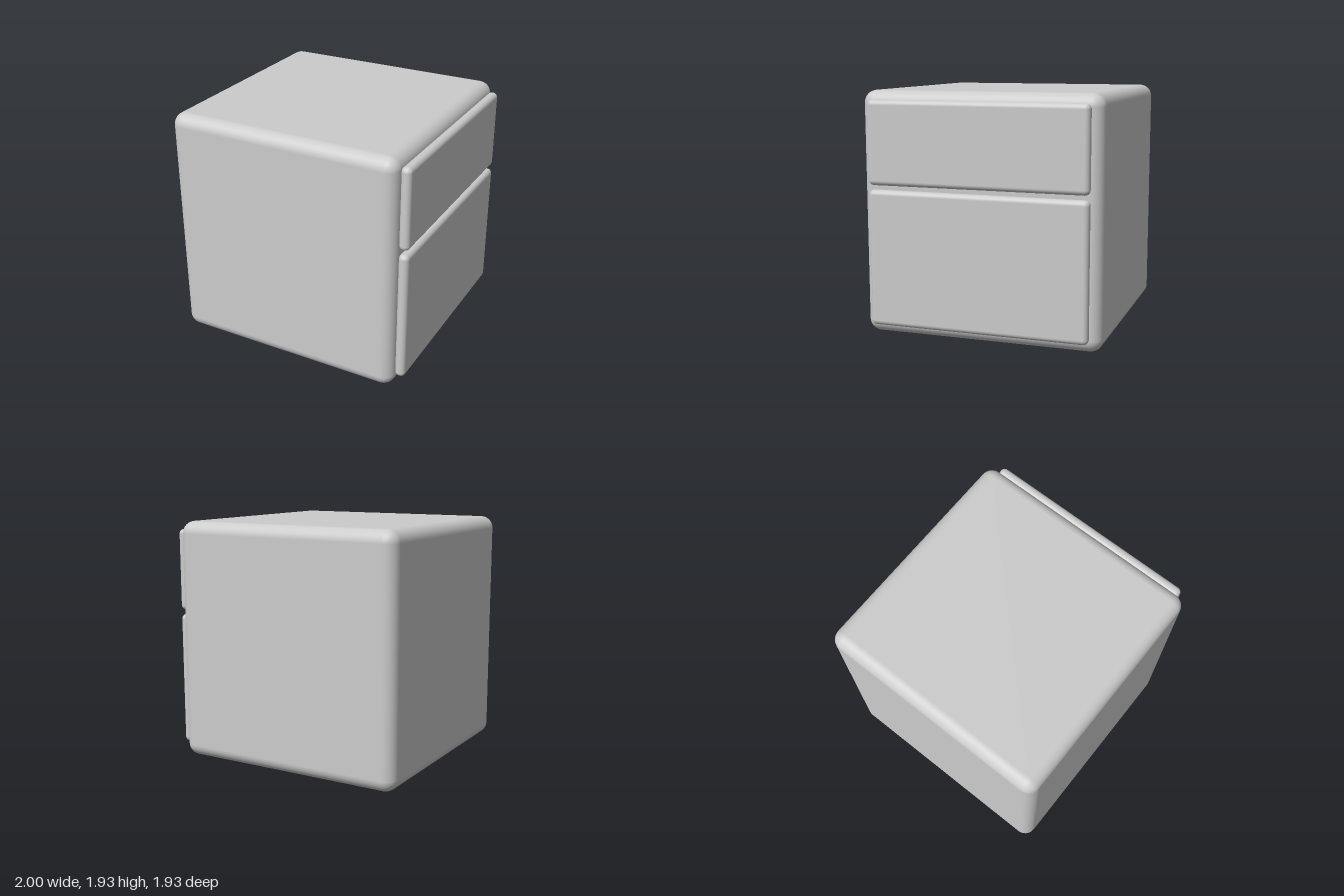
import * as THREE from 'three';
import { RoundedBoxGeometry } from 'three/addons/geometries/RoundedBoxGeometry.js';

export function createModel() {
  const group = new THREE.Group();
  const material = new THREE.MeshStandardMaterial({ color: 0xcccccc });

  // Rounded block given by its extents along x and y, centred on z
  function block(name, [x0, x1], [y0, y1], depth, radius) {
    const geometry = new RoundedBoxGeometry(x1 - x0, y1 - y0, depth, 5, radius);
    const mesh = new THREE.Mesh(geometry, material);
    mesh.name = name;
    mesh.position.set((x0 + x1) / 2, (y0 + y1) / 2, 0);
    group.add(mesh);
  }

  // Cabinet body
  block('cabinetBody', [-1, 0.926], [0, 1.93], 1.926, 0.1);

  // Drawer fronts on the +x side
  block('upperDrawerFront', [0.915, 1], [1.2, 1.86], 1.76, 0.04);
  block('lowerDrawerFront', [0.915, 1], [0.085, 1.165], 1.76, 0.04);

  return group;
}
